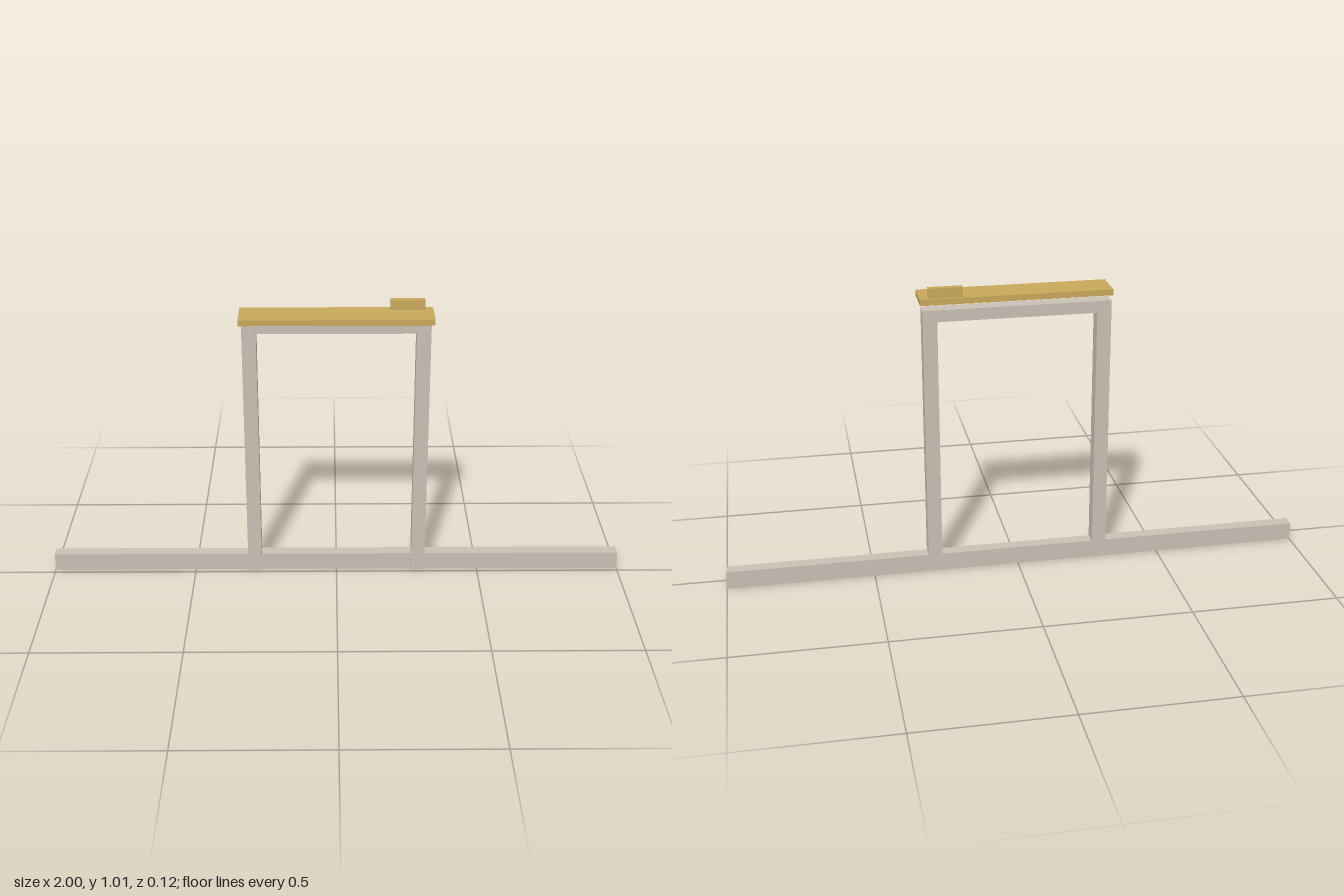
import * as THREE from 'three';

const stone = new THREE.MeshStandardMaterial({ color: 0xc8c0b4 });
stone.name = 'warm grey';
const gold = new THREE.MeshStandardMaterial({ color: 0xc8a85a });
gold.name = 'ochre gold';

// Box given by its lower and upper limits on each axis
function box(name, material, [x0, x1], [y0, y1], [z0, z1]) {
  const mesh = new THREE.Mesh(new THREE.BoxGeometry(x1 - x0, y1 - y0, z1 - z0), material);
  mesh.position.set((x0 + x1) / 2, (y0 + y1) / 2, (z0 + z1) / 2);
  mesh.name = name;
  return mesh;
}

export function createModel() {
  const model = new THREE.Group();
  model.name = 'framedOpening';
  const back = -0.061;

  // Long rail along the floor
  model.add(box('baseRail', stone, [-1, 1], [0, 0.062], [back, -0.019]));

  // Upright frame, open at the bottom
  const outer = 0.313, inner = 0.265, top = 0.942, head = 0.902;
  const outline = new THREE.Shape([
    [-outer, 0], [-inner, 0], [-inner, head], [inner, head],
    [inner, 0], [outer, 0], [outer, top], [-outer, top],
  ].map(([x, y]) => new THREE.Vector2(x, y)));
  const frame = new THREE.Mesh(
    new THREE.ExtrudeGeometry(outline, { depth: 0.05, bevelEnabled: false }), stone);
  frame.position.z = back;
  frame.name = 'uprightFrame';
  model.add(frame);

  // Shelf floating just above the frame, with a small block on it
  model.add(box('shelf', gold, [-0.319, 0.319], [0.958, 0.978], [-0.057, 0.061]));
  model.add(box('shelfBlock', gold, [0.178, 0.291], [0.978, 1.012], [-0.049, -0.029]));

  return model;
}
